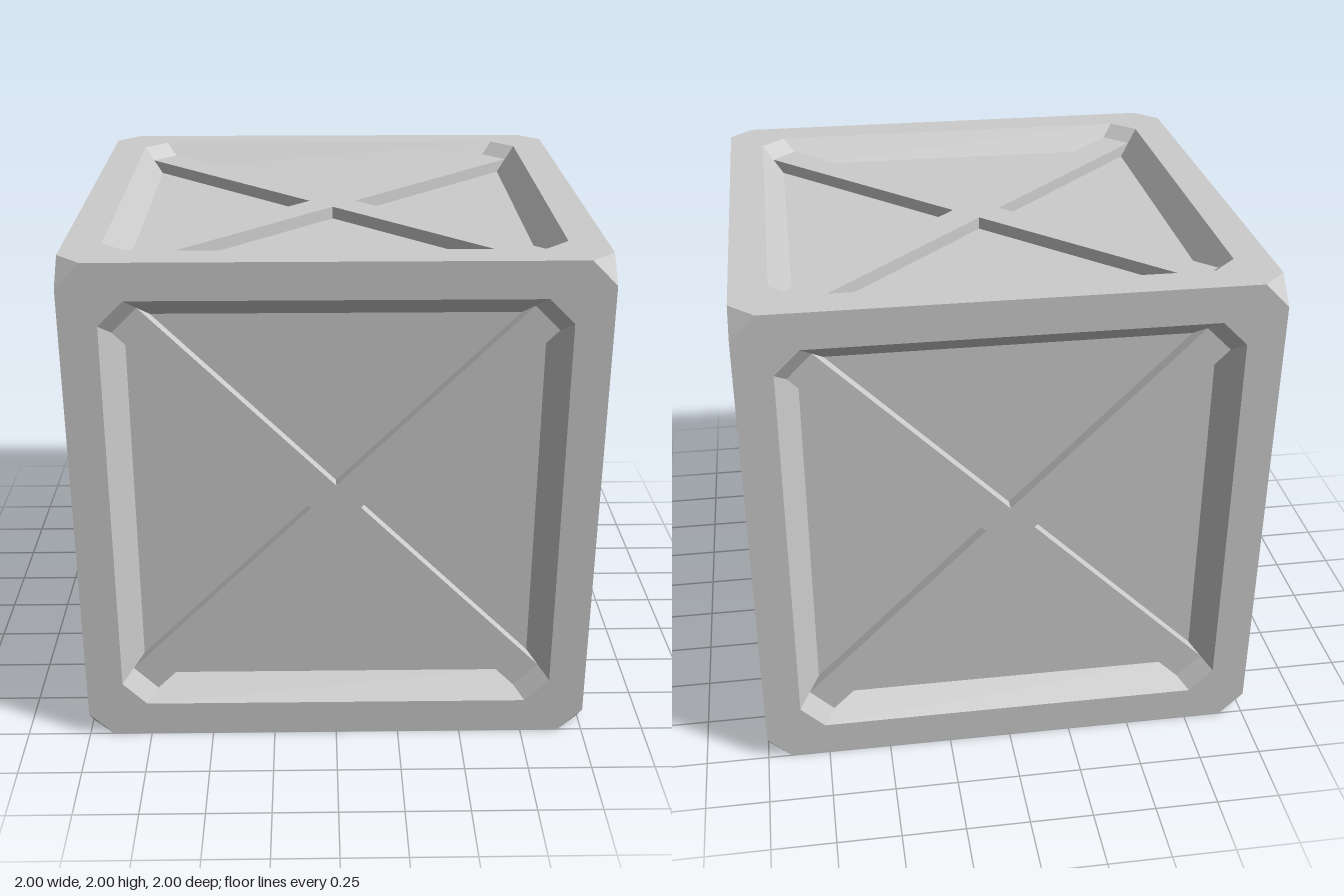
import * as THREE from 'three';

const CUT = 0.095;          // corner cut, also half the diagonal width of a brace
const RIM = 0.857;          // half size of the recess opening
const FLOOR = 0.9;          // height of the recessed panel above the cube's centre
const BRACE = 0.949;        // height of the brace tops
const SLOPE = 0.83;         // inward run of the recess walls per unit of depth

const rimAt = (z) => RIM - (1 - z) * SLOPE;

// Repeats the points of one quadrant around the centre, counter-clockwise
function fourfold(points) {
  const out = [];
  for (let k = 0; k < 4; k++) {
    for (const [x, y] of points) {
      out.push(new THREE.Vector2([x, -y, -x, y][k], [y, x, -y, -x][k]));
    }
  }
  return out;
}

// Square with cut corners
const octagon = (r) => fourfold([[r, r - CUT], [r - CUT, r]]);
// Diagonal cross whose tips meet the cut corners of the recess
const cross = (r) => fourfold([[CUT, 0], [r, r - CUT], [r - CUT, r]]);

function plate(outline, z, hole) {
  const shape = new THREE.Shape(outline);
  if (hole) shape.holes.push(new THREE.Path(hole));
  return new THREE.ShapeGeometry(shape).translate(0, 0, z);
}

function triangles(points) {
  const geometry = new THREE.BufferGeometry().setFromPoints(points);
  geometry.computeVertexNormals();
  return geometry;
}

// Flat-shaded band joining two outlines at different heights
function band(a, za, b, zb, keep = () => true) {
  const points = [];
  a.forEach((_, i) => {
    if (!keep(i)) return;
    const j = (i + 1) % a.length;
    const [p, q] = [a[i], a[j]].map((v) => new THREE.Vector3(v.x, v.y, za));
    const [r, s] = [b[j], b[i]].map((v) => new THREE.Vector3(v.x, v.y, zb));
    points.push(p, q, r, p, r, s);
  });
  return triangles(points);
}

export function createModel() {
  const model = new THREE.Group();
  model.name = 'crate';
  const grey = new THREE.MeshStandardMaterial({ color: 0xcccccc });
  grey.name = 'light grey';

  const parts = {
    frame: plate(octagon(1), 1, octagon(RIM)),
    recessWalls: band(octagon(RIM), 1, octagon(rimAt(FLOOR)), FLOOR),
    panel: plate(octagon(rimAt(FLOOR)), FLOOR),
    braceTop: plate(cross(rimAt(BRACE)), BRACE),
    // The tips lie against the recess walls and need no faces
    braceSides: band(cross(rimAt(FLOOR)), FLOOR, cross(rimAt(BRACE)), BRACE, (i) => i % 3 !== 1),
  };

  // Six identical sides
  const h = Math.PI / 2;
  const sides = {
    front: [0, 0], left: [0, h], back: [0, 2 * h], right: [0, -h], top: [-h, 0], bottom: [h, 0],
  };
  for (const [name, [rx, ry]] of Object.entries(sides)) {
    const side = new THREE.Group();
    side.name = name + 'Side';
    side.rotation.set(rx, ry, 0);
    side.position.y = 1;
    for (const [part, geometry] of Object.entries(parts)) {
      const mesh = new THREE.Mesh(geometry, grey);
      mesh.name = part;
      side.add(mesh);
    }
    model.add(side);
  }

  // Triangular corner cuts
  const corners = [];
  const c = 1 - CUT;
  for (const x of [-1, 1]) for (const y of [-1, 1]) for (const z of [-1, 1]) {
    const tri = [[c, 1, 1], [1, c, 1], [1, 1, c]].map(
      (p) => new THREE.Vector3(p[0] * x, p[1] * y + 1, p[2] * z));
    // Keep the face turned outward in mirrored corners
    corners.push(...(x * y * z > 0 ? tri.reverse() : tri));
  }
  // Orientation check against the outward direction
  for (let i = 0; i < corners.length; i += 3) {
    const [p, q, r] = corners.slice(i, i + 3);
    const normal = q.clone().sub(p).cross(r.clone().sub(p));
    if (normal.dot(new THREE.Vector3(p.x, p.y - 1, p.z)) < 0) {
      [corners[i + 1], corners[i + 2]] = [r, q];
    }
  }
  const cuts = new THREE.Mesh(triangles(corners), grey);
  cuts.name = 'cornerCuts';
  model.add(cuts);
  return model;
}
